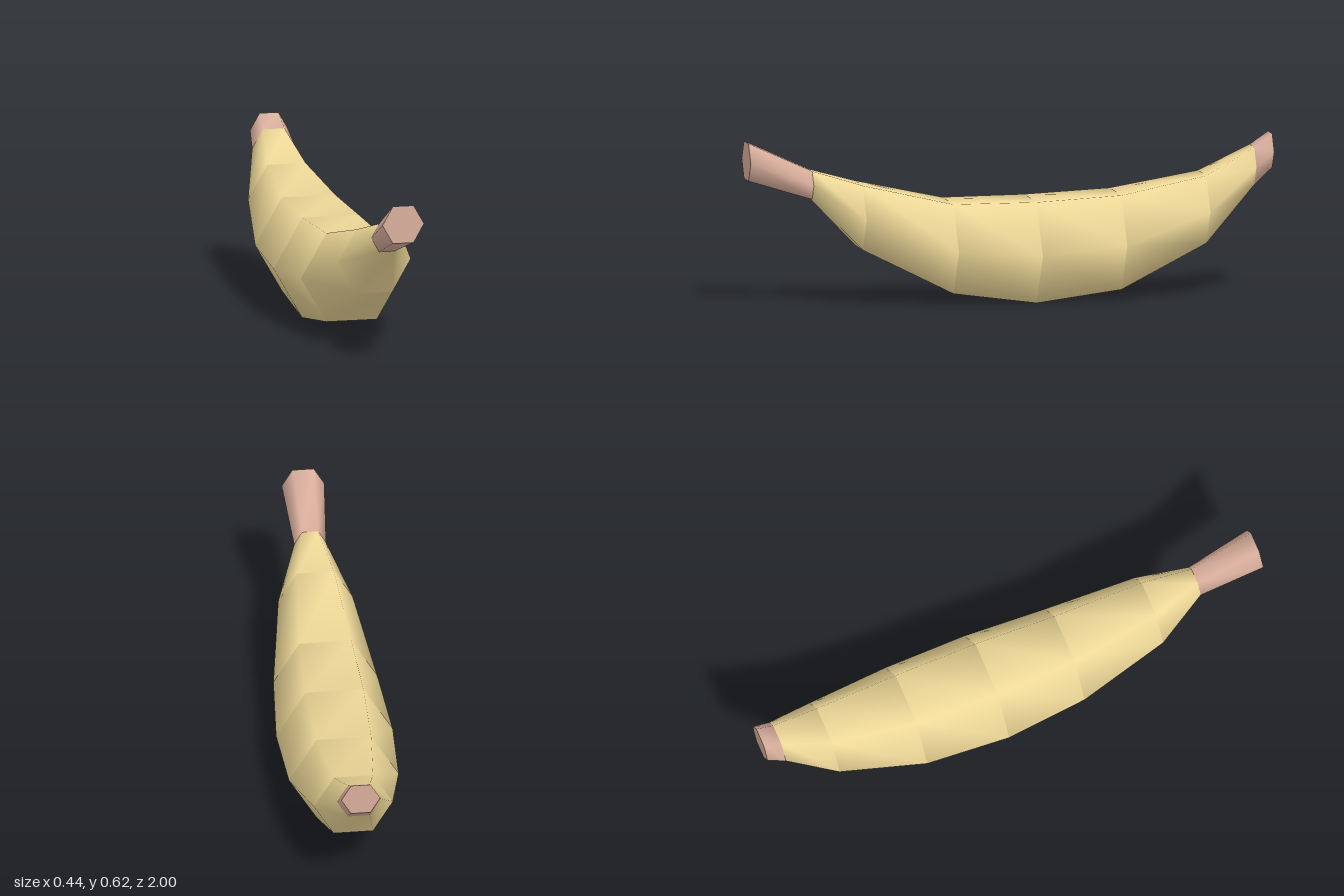
import * as THREE from 'three';
import { mergeGeometries } from 'three/addons/utils/BufferGeometryUtils.js';

const SIDES = 6;

// Upright hexagonal sections from stem (+z) to tip (-z): [z, bottom, top, half width]
const sections = [
  [1.0, 0.483, 0.624, 0.08],
  [0.755, 0.405, 0.512, 0.06],
  [0.57, 0.214, 0.457, 0.14],
  [0.23, 0.043, 0.38, 0.195],
  [-0.085, 0, 0.38, 0.219],
  [-0.41, 0.04, 0.395, 0.206],
  [-0.74, 0.2, 0.455, 0.148],
  [-0.93, 0.41, 0.552, 0.083],
  [-1.0, 0.473, 0.6, 0.073],
];

function ring([z, bottom, top, halfWidth]) {
  const points = [];
  for (let j = 0; j < SIDES; j++) {
    const a = (j / SIDES) * Math.PI * 2;
    const y = (top + bottom) / 2 + (Math.sin(a) / Math.sin(Math.PI / 3)) * (top - bottom) / 2;
    points.push(halfWidth * Math.cos(a), y, z);
  }
  return points;
}

function build(positions, index) {
  const g = new THREE.BufferGeometry();
  g.setAttribute('position', new THREE.Float32BufferAttribute(positions, 3));
  g.setIndex(index);
  g.computeVertexNormals();
  return g;
}

// One band between neighbouring sections: smooth around, creased at both ends
function band(front, back) {
  const index = [];
  for (let j = 0; j < SIDES; j++) {
    const k = (j + 1) % SIDES;
    index.push(j, j + SIDES, k, k, j + SIDES, k + SIDES);
  }
  return build([...ring(front), ...ring(back)], index);
}

// Flat end face
function cap(section, facesFront) {
  const index = [];
  for (let j = 1; j < SIDES - 1; j++) {
    index.push(0, ...(facesFront ? [j, j + 1] : [j + 1, j]));
  }
  return build(ring(section), index);
}

function bands(from, to) {
  const list = [];
  for (let i = from; i < to; i++) list.push(band(sections[i], sections[i + 1]));
  return list;
}

export function createModel() {
  const group = new THREE.Group();
  group.name = 'banana';
  const peelMaterial = new THREE.MeshStandardMaterial({ color: 0xeed898 });
  const endMaterial = new THREE.MeshStandardMaterial({ color: 0xd9ae9c });

  const add = (name, geometries, material) => {
    const mesh = new THREE.Mesh(mergeGeometries(geometries), material);
    mesh.name = name;
    group.add(mesh);
  };

  const last = sections.length - 1;
  add('stem', [...bands(0, 1), cap(sections[0], true)], endMaterial);
  add('peel', bands(1, last - 1), peelMaterial);
  add('tip', [...bands(last - 1, last), cap(sections[last], false)], endMaterial);
  return group;
}
